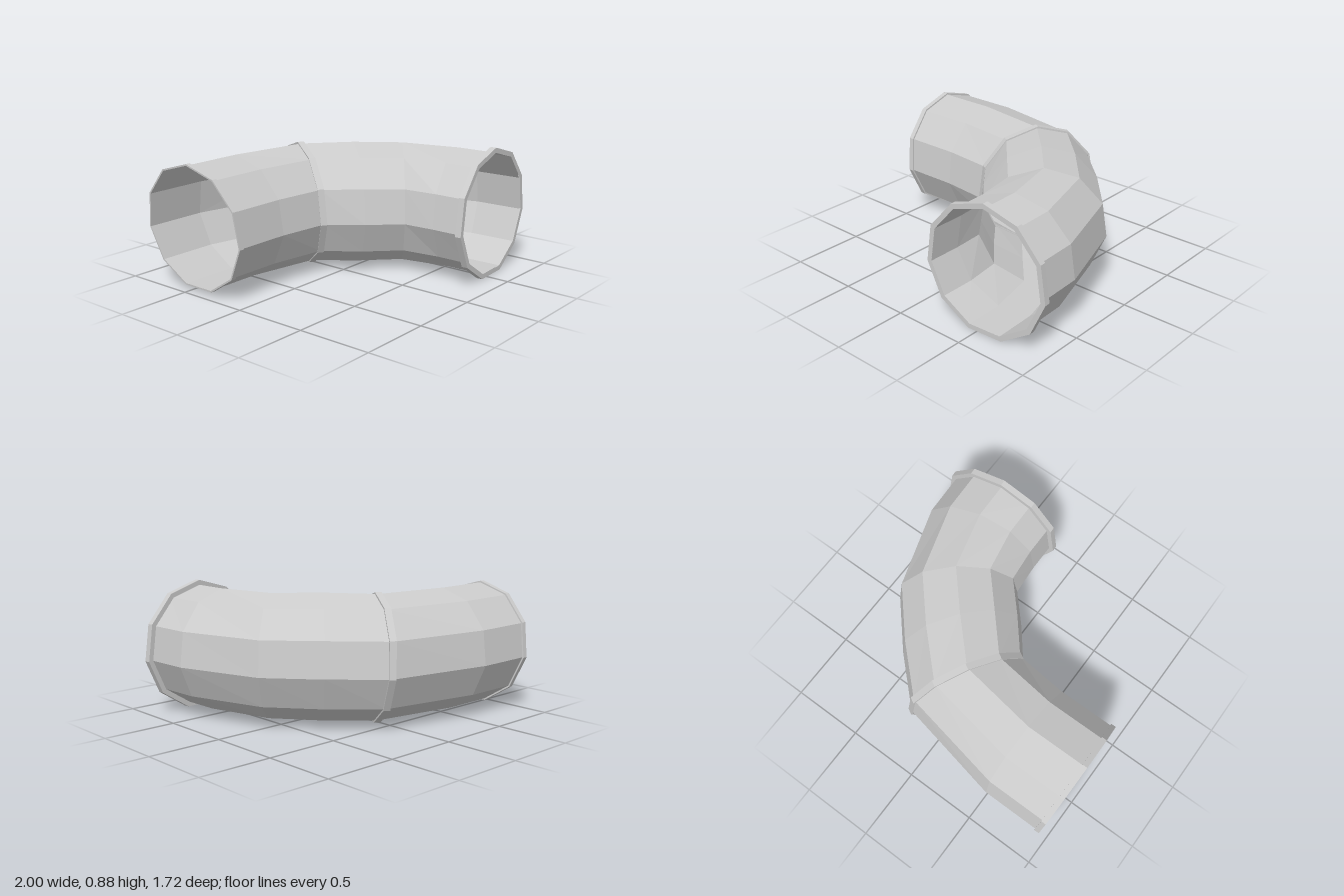
import * as THREE from 'three';

const SIDES = 11;
const AXIS_Y = 0.432;
const BORE = 0.413;

const material = new THREE.MeshStandardMaterial({
  color: 0xcccccc, flatShading: true, side: THREE.DoubleSide,
});

// One upright polygonal section: centre (x, z), heading in degrees, radius, lean along the heading per unit height
function section(x, z, heading, radius = BORE, lean = 0) {
  const a = THREE.MathUtils.degToRad(heading);
  const points = [];
  for (let j = 0; j < SIDES; j++) {
    const phi = (j / SIDES) * Math.PI * 2;
    const across = Math.sin(phi) * radius;
    const up = Math.cos(phi) * radius;
    const along = lean * up;
    points.push(
      x + across * Math.sin(a) + along * Math.cos(a),
      AXIS_Y + up,
      z - across * Math.cos(a) + along * Math.sin(a),
    );
  }
  return points;
}

// Skin a list of sections
function loft(name, sections) {
  const index = [];
  for (let i = 0; i < sections.length - 1; i++) {
    for (let j = 0; j < SIDES; j++) {
      const k = (j + 1) % SIDES;
      const a = i * SIDES + j, b = a + SIDES;
      const c = i * SIDES + k, d = c + SIDES;
      index.push(a, b, c, c, b, d);
    }
  }
  const geometry = new THREE.BufferGeometry();
  geometry.setAttribute('position', new THREE.Float32BufferAttribute(sections.flat(), 3));
  geometry.setIndex(index);
  geometry.computeVertexNormals();
  const mesh = new THREE.Mesh(geometry, material);
  mesh.name = name;
  return mesh;
}

// Raised band around the pipe, with flat faces on both sides
function band(name, x, z, heading, radius, thickness, lean) {
  const a = THREE.MathUtils.degToRad(heading);
  const dx = Math.cos(a) * thickness / 2, dz = Math.sin(a) * thickness / 2;
  return loft(name, [
    section(x - dx, z - dz, heading, BORE, lean),
    section(x - dx, z - dz, heading, radius, lean),
    section(x + dx, z + dz, heading, radius, lean),
    section(x + dx, z + dz, heading, BORE, lean),
  ]);
}

export function createModel() {
  const group = new THREE.Group();
  group.name = 'pipeElbow';

  const joint = section(-0.013, -0.35, 30, BORE, -0.04);

  // Straight length that starts to turn
  group.add(loft('straightPipe', [
    section(-0.967, -0.44, 0, BORE, -0.075),
    section(-0.55, -0.44, 2, BORE, -0.03),
    joint,
  ]));

  // Bend sweeping round to the front opening
  group.add(loft('bentPipe', [
    joint,
    section(0.225, -0.097, 40, 0.42),
    section(0.45, 0.155, 50.6),
    section(0.55, 0.55, 78.7),
    section(0.558, 0.833, 86),
  ]));

  // Rims at both openings and the collar at the joint
  group.add(band('sideRim', -0.95, -0.44, 0, 0.424, 0.035, -0.075));
  group.add(band('jointCollar', -0.013, -0.35, 30, 0.426, 0.045, -0.04));
  group.add(band('frontRim', 0.558, 0.815, 86.5, 0.447, 0.042, 0));

  return group;
}
